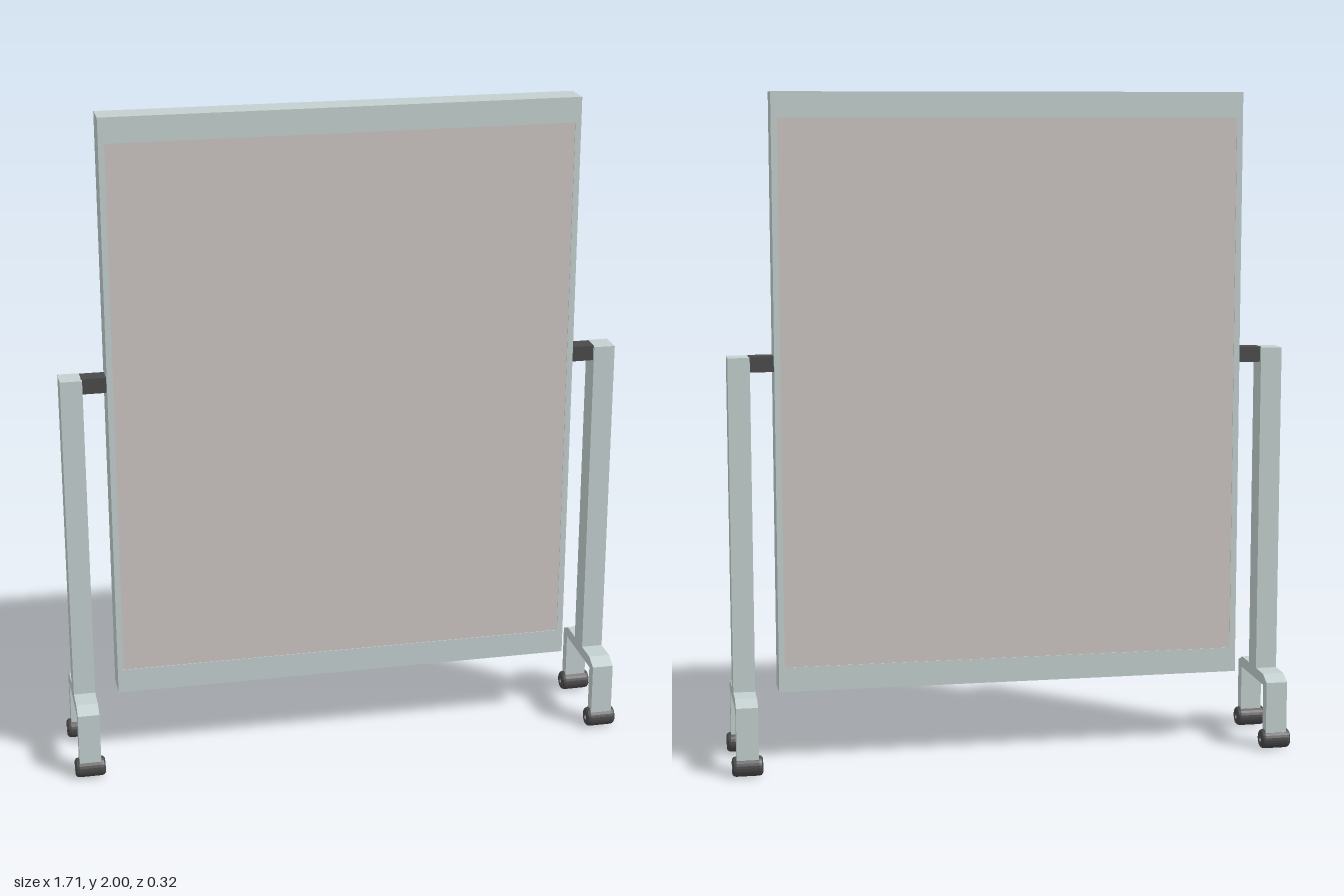
import * as THREE from 'three';

const metal = new THREE.MeshStandardMaterial({ color: 0xc3d0cf });
const boardGrey = new THREE.MeshStandardMaterial({ color: 0xccc5c2 });
const dark = new THREE.MeshStandardMaterial({ color: 0x4a4a4a });

function add(parent, name, geometry, material, x = 0, y = 0, z = 0) {
  const mesh = new THREE.Mesh(geometry, material);
  mesh.name = name;
  mesh.position.set(x, y, z);
  parent.add(mesh);
  return mesh;
}

// Closed shape from a short list of corners
const polygon = (points) => points.map(([x, y]) => new THREE.Vector2(x, y));

// Extrusion centred on its own depth
function slab(shape, depth) {
  const geometry = new THREE.ExtrudeGeometry(shape, { depth, bevelEnabled: false });
  return geometry.translate(0, 0, -depth / 2);
}

// Board surround: deep top and bottom rails, thin side stiles
function frameGeometry() {
  const shape = new THREE.Shape(polygon([[-0.705, 0.225], [0.705, 0.225], [0.705, 2], [-0.705, 2]]));
  shape.holes.push(new THREE.Path(polygon([[-0.687, 0.3], [-0.687, 1.925], [0.687, 1.925], [0.687, 0.3]])));
  return slab(shape, 0.092);
}

// Arched foot with chamfered shoulders, drawn in z and y
function footGeometry() {
  const half = [[0.152, 0.05], [0.152, 0.21], [0.112, 0.229]];
  const inner = [[0.117, 0.195], [0.117, 0.05]];
  const flip = (list) => list.map(([z, y]) => [-z, y]).reverse();
  const shape = new THREE.Shape(polygon([...half, ...flip(half), ...flip(inner), ...inner]));
  return slab(shape, 0.065).rotateY(Math.PI / 2);
}

// Caster with rounded shoulders and an open bore, axle along x
function wheelGeometry() {
  const profile = polygon([
    [0.011, -0.045], [0.023, -0.045], [0.028, -0.041], [0.03, -0.034],
    [0.03, 0.034], [0.028, 0.041], [0.023, 0.045], [0.011, 0.045], [0.011, -0.045],
  ]);
  const lathe = new THREE.LatheGeometry(profile, 24).rotateZ(Math.PI / 2);
  const flat = lathe.toNonIndexed();
  flat.computeVertexNormals();
  return flat;
}

export function createModel() {
  const model = new THREE.Group();
  model.name = 'mobileBoard';

  // Board, all but flush with both faces of its frame
  add(model, 'frame', frameGeometry(), metal);
  add(model, 'board', new THREE.BoxGeometry(1.374, 1.625, 0.088), boardGrey, 0, 1.1125, 0);

  const foot = footGeometry();
  const wheel = wheelGeometry();
  for (const side of [1, -1]) {
    const stand = new THREE.Group();
    stand.name = side > 0 ? 'leftStand' : 'rightStand';
    model.add(stand);
    const x = side * 0.808;

    // Post and the pivot block that holds the board
    add(stand, 'post', new THREE.BoxGeometry(0.065, 1.01, 0.076), metal, x, 0.725, 0);
    add(stand, 'pivot', new THREE.BoxGeometry(0.075, 0.046, 0.056), dark, side * 0.74, 1.209, 0);

    // Foot and casters
    add(stand, 'foot', foot, metal, x, 0, 0);
    for (const z of [0.132, -0.132]) add(stand, 'caster', wheel, dark, x, 0.03, z);
  }
  return model;
}
